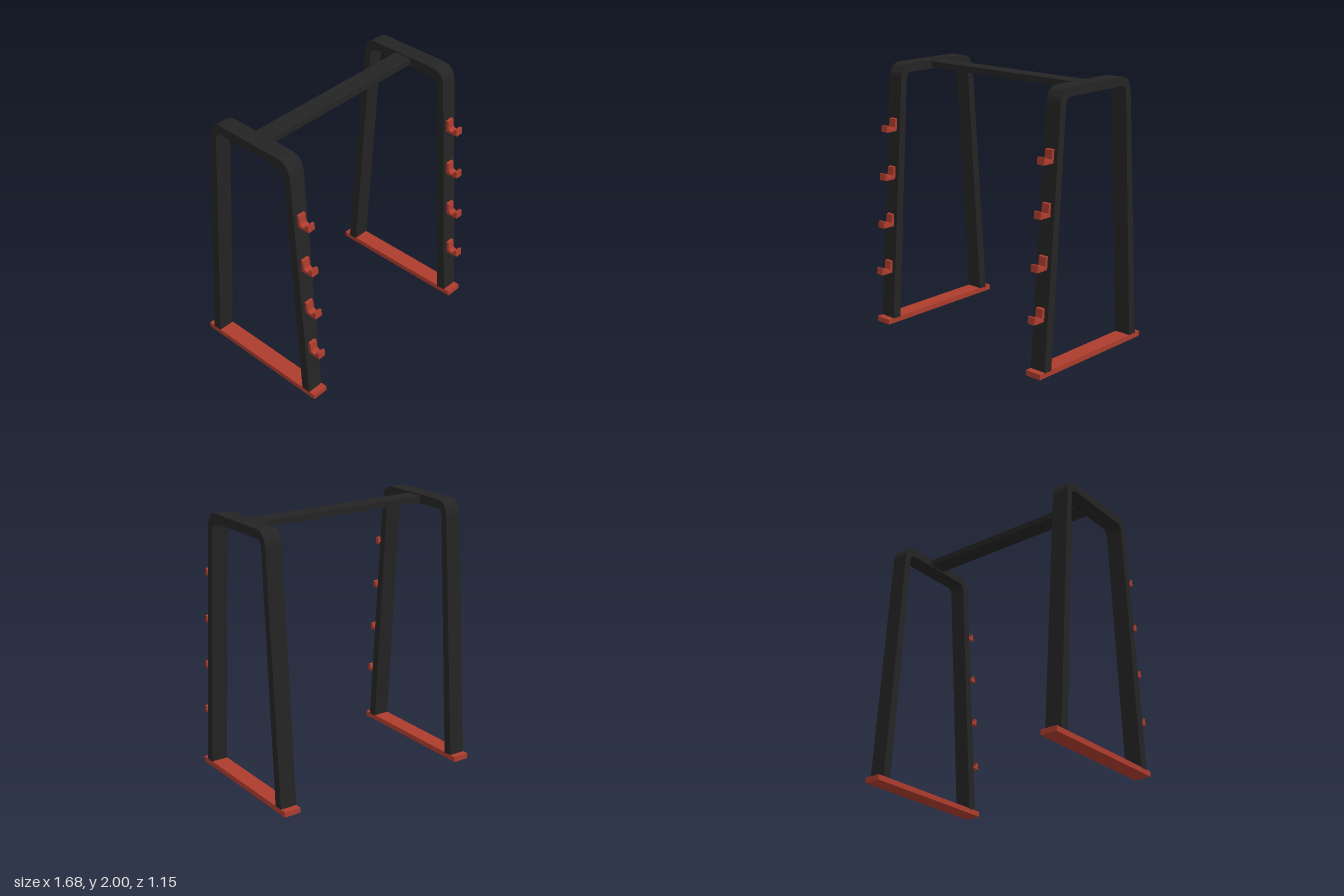
import * as THREE from 'three';

const FRAME_X = 0.775, MID_Z = -0.01;

// Extrude a (z, y) outline along x, centred on x = 0
function extrudeX(points, width) {
  const shape = new THREE.Shape(points.map(([z, y]) => new THREE.Vector2(z, y)));
  const g = new THREE.ExtrudeGeometry(shape, { depth: width, bevelEnabled: false });
  return g.translate(0, 0, -width / 2).rotateY(-Math.PI / 2);
}

export function createModel() {
  const black = new THREE.MeshStandardMaterial({ color: 0x242424 });
  black.name = 'black steel';
  const red = new THREE.MeshStandardMaterial({ color: 0xac3c2d });
  red.name = 'red paint';

  const model = new THREE.Group();
  model.name = 'barbellRack';
  const add = (parent, name, geometry, material, x, y, z) => {
    const mesh = new THREE.Mesh(geometry, material);
    mesh.name = name;
    mesh.position.set(x, y, z);
    parent.add(mesh);
  };

  // Tapered arch: front half of the outer and inner edges, mirrored to the back
  const outer = [[0.515, 0.035], [0.377, 1.9], [0.369, 1.935], [0.344, 1.975], [0.312, 1.993], [0.278, 2]];
  const inner = [[0.445, 0.035], [0.325, 1.87], [0.32, 1.9], [0.308, 1.921], [0.29, 1.931], [0.27, 1.933]];
  const mirror = (pts) => pts.map(([z, y]) => [-z, y]).reverse();
  const archGeometry = extrudeX(
    [...outer, ...mirror(outer), ...mirror(inner).reverse(), ...[...inner].reverse()], 0.128);

  // J-shaped bar cradle
  const hookGeometry = extrudeX([
    [0.46, 0.398], [0.578, 0.398], [0.573, 0.45], [0.553, 0.447], [0.551, 0.427],
    [0.526, 0.414], [0.5, 0.427], [0.493, 0.49], [0.46, 0.495],
  ], 0.062);
  const baseGeometry = new THREE.BoxGeometry(0.128, 0.04, 1.13);

  for (const side of [-1, 1]) {
    const frame = new THREE.Group();
    frame.name = side > 0 ? 'leftFrame' : 'rightFrame';
    frame.position.x = side * FRAME_X;
    add(frame, 'arch', archGeometry, black, 0, 0, MID_Z);
    add(frame, 'basePlate', baseGeometry, red, 0, 0.02, MID_Z);
    for (let i = 0; i < 4; i++) {
      add(frame, 'hook' + (i + 1), hookGeometry, red, 0, i * 0.3665, -i * 0.0278);
    }
    model.add(frame);
  }

  // Bar joining the two arches
  add(model, 'crossbar', new THREE.BoxGeometry(1.44, 0.046, 0.14), black, 0, 1.967, -0.015);
  return model;
}
